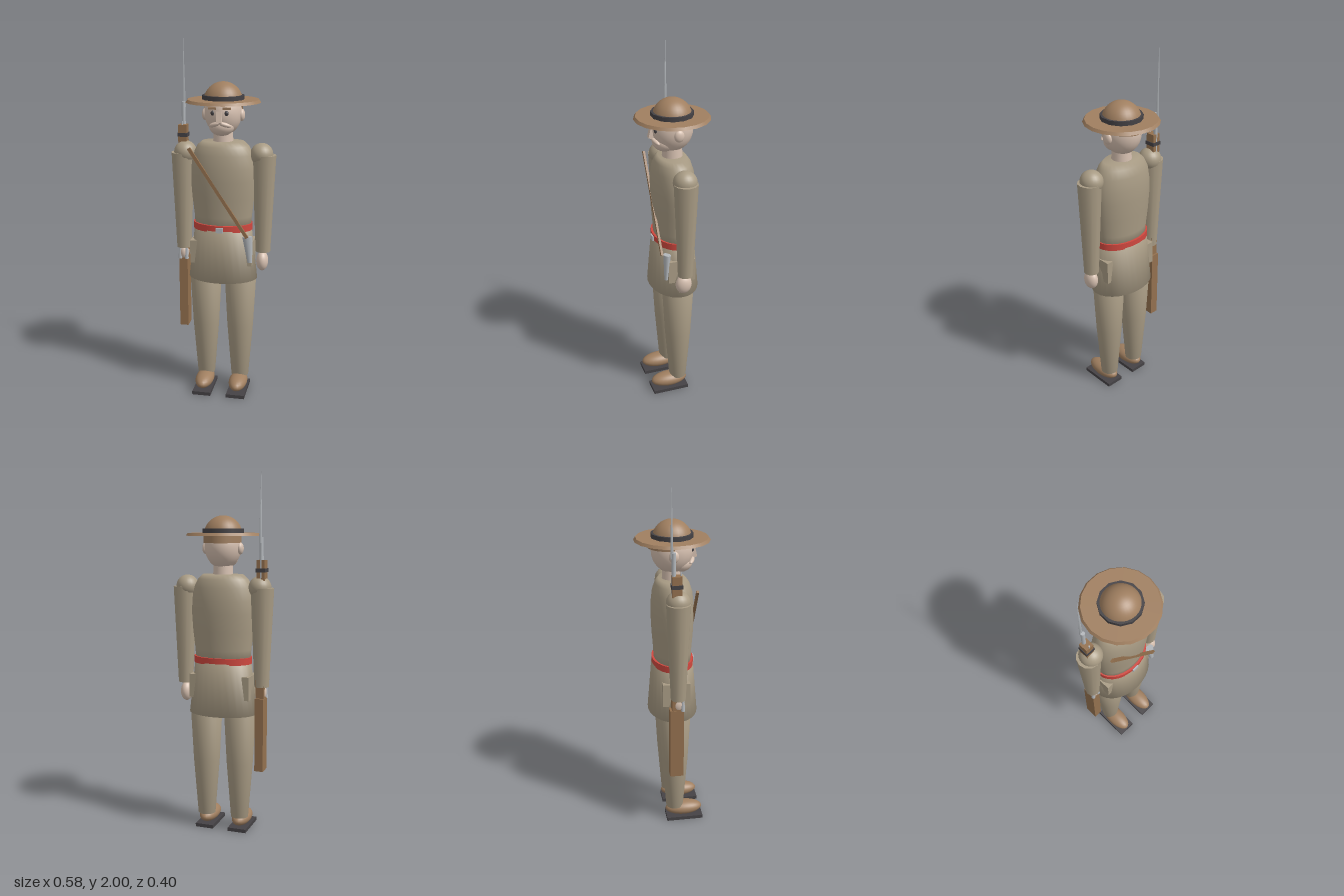
import * as THREE from 'three';

const mat = (name, color, side = THREE.FrontSide) => {
  const m = new THREE.MeshStandardMaterial({ color, side });
  m.name = name;
  return m;
};

export function createModel() {
  const root = new THREE.Group();
  root.name = 'soldier';
  const khaki = mat('khaki cloth', 0xa89b84);
  const brown = mat('hat brown', 0xa07f60, THREE.DoubleSide);
  const wood = mat('rifle wood', 0x94714f);
  const skin = mat('skin', 0xd6c0b0);
  const red = mat('belt red', 0xd0483f);
  const steel = mat('steel', 0xb4b8bc);
  const dark = mat('dark leather', 0x454245);

  // Helpers: add a mesh, box, ellipsoid, tapered cylinder, elliptical lathe
  const add = (name, geo, m, x = 0, y = 0, z = 0, parent = root) => {
    const mesh = new THREE.Mesh(geo, m);
    mesh.name = name;
    mesh.position.set(x, y, z);
    parent.add(mesh);
    return mesh;
  };
  const box = (name, m, w, h, d, x, y, z) =>
    add(name, new THREE.BoxGeometry(w, h, d), m, x, y, z);
  const ball = (name, m, rx, ry, rz, x, y, z) =>
    add(name, new THREE.SphereGeometry(1, 24, 16).scale(rx, ry, rz), m, x, y, z);
  const tube = (name, m, rTop, rBottom, y0, y1, x = 0, z = 0, seg = 20) =>
    add(name, new THREE.CylinderGeometry(rTop, rBottom, y1 - y0, seg), m, x, (y0 + y1) / 2, z);
  const lathe = (name, m, pts, depth, x = 0, seg = 28) =>
    add(name, new THREE.LatheGeometry(pts.map(p => new THREE.Vector2(...p)), seg).scale(1, 1, depth), m, x);

  // Torso, coat skirt and belt
  lathe('torso', khaki, [[0, 0.95], [0.155, 0.95], [0.16, 1.04], [0.172, 1.14], [0.179, 1.24],
    [0.177, 1.31], [0.165, 1.38], [0.142, 1.425], [0.114, 1.45], [0, 1.452]], 0.645);
  lathe('coatSkirt', khaki, [[0, 0.68], [0.193, 0.68], [0.16, 0.97], [0, 0.97]], 0.715);
  const belt = tube('belt', red, 0.165, 0.165, 0.963, 1.0, 0, 0, 28);
  belt.scale.z = 0.69;
  box('beltBuckle', steel, 0.04, 0.028, 0.012, 0, 0.978, 0.115);

  // Shoulder strap crossing the chest
  const strap = box('chestStrap', wood, 0.018, 0.575, 0.012, -0.008, 1.182, 0.108);
  strap.rotation.z = Math.atan2(0.315, 0.475);

  for (const s of [1, -1]) {
    const side = s > 0 ? 'left' : 'right';
    // Coat pocket
    box(side + 'Pocket', khaki, 0.045, 0.13, 0.15, s * 0.15, 0.835, 0);
    // Leg, boot and sole
    lathe(side + 'Leg', khaki, [[0, 0.08], [0.049, 0.08], [0.074, 0.4], [0.09, 0.71], [0, 0.71]], 1, s * 0.099);
    ball(side + 'Boot', brown, 0.052, 0.041, 0.107, s * 0.098, 0.058, 0.053);
    box(side + 'Sole', dark, 0.105, 0.02, 0.21, s * 0.098, 0.01, 0.055);
    // Arm
    ball(side + 'Shoulder', khaki, 0.062, 0.062, 0.064, s * 0.21, 1.382, 0);
    tube(side + 'Arm', khaki, 0.065, 0.041, 0.84, 1.38, s * 0.224, 0, 12);
    // Ear, eye, brow and moustache half
    ball(side + 'Ear', skin, 0.017, 0.032, 0.027, s * 0.1, 1.59, -0.005);
    ball(side + 'Eye', dark, 0.012, 0.013, 0.01, s * 0.036, 1.61, 0.1);
    box(side + 'Brow', brown, 0.042, 0.012, 0.016, s * 0.038, 1.635, 0.102);
    const whisker = ball(side + 'Moustache', skin, 0.035, 0.012, 0.014, s * 0.028, 1.55, 0.1);
    whisker.rotation.set(0, s * 0.35, -s * 0.3);
  }

  // Hands
  ball('leftHand', skin, 0.033, 0.055, 0.045, 0.222, 0.785, 0.008);
  ball('rightHand', skin, 0.027, 0.045, 0.035, -0.224, 0.81, 0);

  // Head
  tube('neck', skin, 0.05, 0.056, 1.43, 1.53);
  ball('head', skin, 0.1, 0.122, 0.112, 0, 1.602, 0);
  ball('jaw', skin, 0.068, 0.052, 0.066, 0, 1.535, 0.042);
  const nose = box('nose', skin, 0.028, 0.06, 0.03, 0, 1.59, 0.111);
  nose.rotation.x = -0.22;
  add('hair', new THREE.CylinderGeometry(1, 1, 0.045, 16, 1, false, Math.PI / 2, Math.PI)
    .scale(0.103, 1, 0.128), brown, 0, 1.641, 0);

  // Hat: brim, band and domed crown
  const brim = tube('hatBrim', brown, 0.192, 0.202, 1.657, 1.672, 0, 0, 18);
  brim.rotation.y = Math.PI / 18;
  const band = tube('hatBand', dark, 0.113, 0.113, 1.668, 1.695, 0, 0, 12);
  band.rotation.y = Math.PI / 12;
  add('hatCrown', new THREE.SphereGeometry(0.105, 28, 12, 0, Math.PI * 2, 0, Math.PI / 2), brown, 0, 1.66, 0);

  // Rifle held upright against the right arm
  box('rifleButt', wood, 0.048, 0.41, 0.075, -0.224, 0.575, -0.01);
  box('rifleStock', wood, 0.046, 0.75, 0.052, -0.223, 1.155, -0.01);
  box('rifleBand', dark, 0.054, 0.02, 0.058, -0.223, 1.476, -0.01);
  tube('rifleBarrel', steel, 0.011, 0.011, 1.42, 1.65, -0.224, -0.026, 12);
  tube('cleaningRod', steel, 0.004, 0.004, 1.5, 1.55, -0.223, 0.012, 8);
  tube('bayonet', steel, 0.0005, 0.01, 1.62, 2.0, -0.224, -0.037, 3);
  for (const dx of [-0.018, 0.018]) {
    tube('rifleAction', steel, 0.008, 0.012, 0.775, 0.845, -0.224 + dx, 0.022, 8);
  }

  // Sidearm hanging on the left hip
  const sidearm = add('sidearm', new THREE.CylinderGeometry(0.028, 0.013, 0.145, 12).scale(1, 1, 0.7),
    steel, 0.157, 0.868, 0.084);
  sidearm.rotation.set(-0.08, 0, 0.12);

  return root;
}
